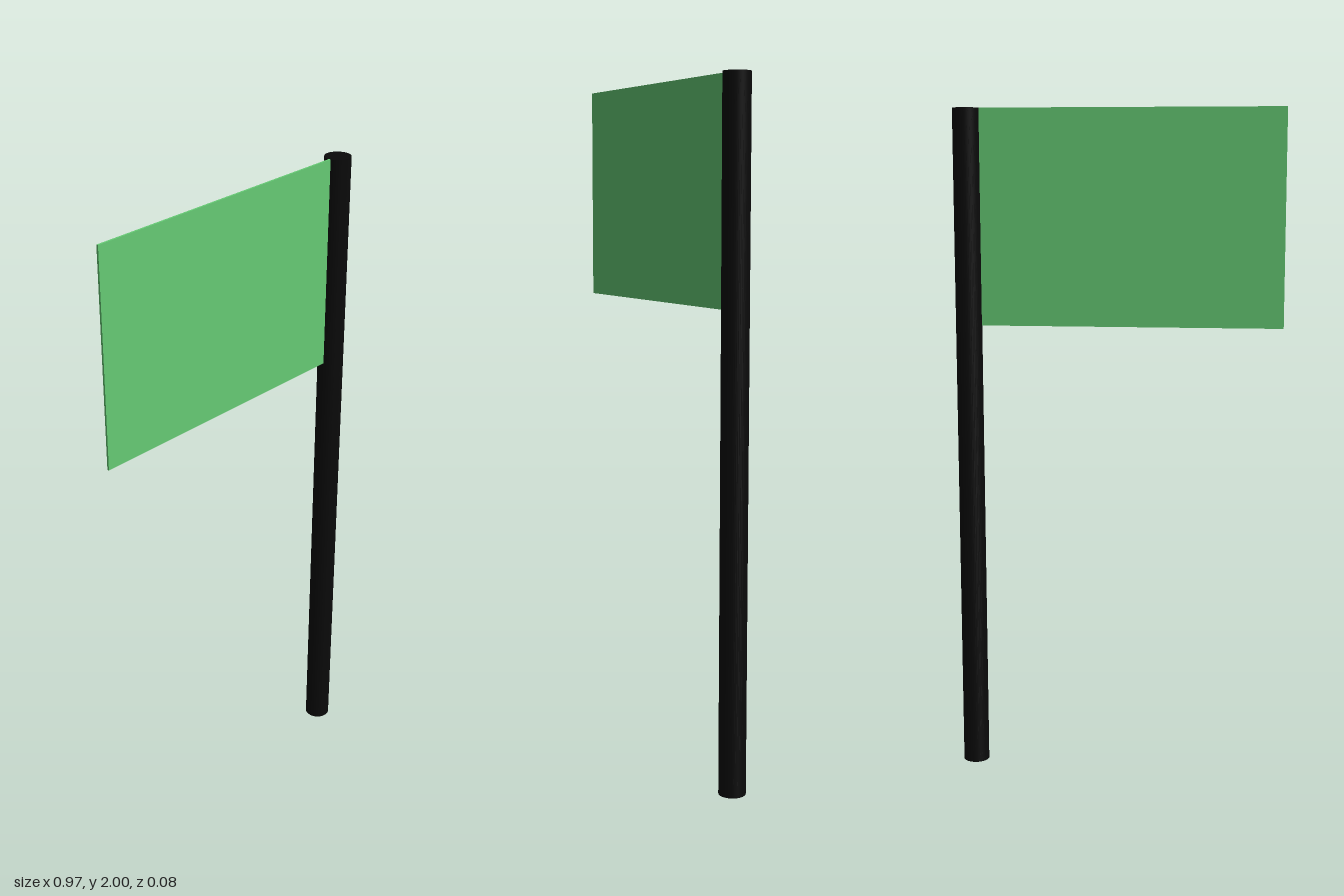
import * as THREE from 'three';

const POLE_X = 0.448, POLE_R = 0.039, HEIGHT = 2;
const FLAG_LEFT = -0.487, FLAG_BOTTOM = 1.365;

export function createModel() {
  const model = new THREE.Group();
  model.name = 'flag';

  // Round upright pole
  const pole = new THREE.Mesh(
    new THREE.CylinderGeometry(POLE_R, POLE_R, HEIGHT, 48),
    new THREE.MeshStandardMaterial({ color: 0x0a0a0a })
  );
  pole.name = 'pole';
  pole.position.set(POLE_X, HEIGHT / 2, 0);

  // Thin rigid banner, its inner edge set into the pole
  const width = POLE_X - 0.02 - FLAG_LEFT;
  const banner = new THREE.Mesh(
    new THREE.BoxGeometry(width, HEIGHT - FLAG_BOTTOM, 0.006),
    new THREE.MeshStandardMaterial({ color: 0x66cc75 })
  );
  banner.name = 'banner';
  banner.position.set(FLAG_LEFT + width / 2, (HEIGHT + FLAG_BOTTOM) / 2, 0.002);

  model.add(pole, banner);
  return model;
}
